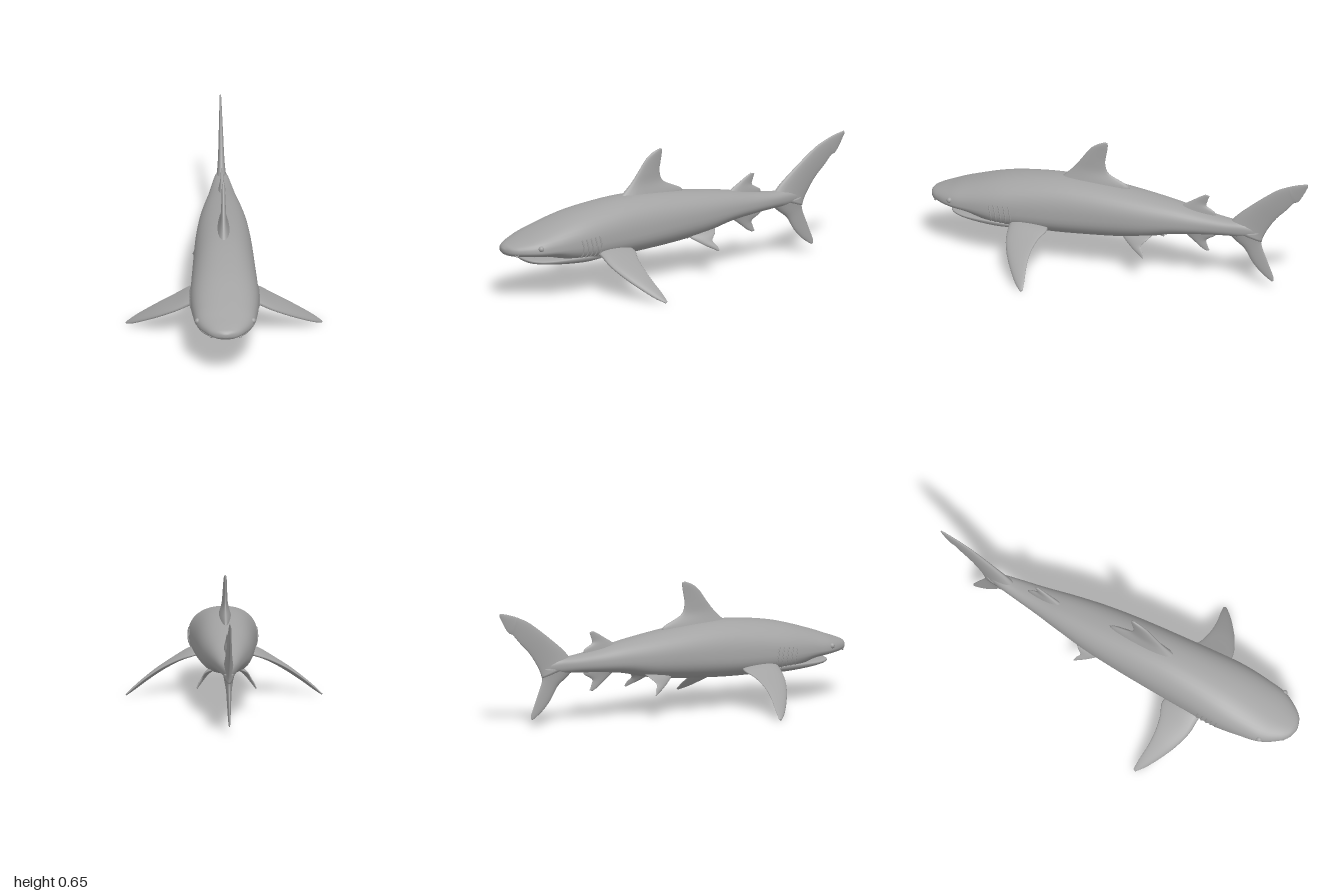
import * as THREE from 'three';

const skin = new THREE.MeshStandardMaterial({ color: 0xa3a3a3 });
skin.name = 'grey skin';

function mesh(name, geometry) {
  const m = new THREE.Mesh(geometry, skin);
  m.name = name;
  return m;
}

// Closed skin through equal rings of points, capped at both ends, facing outward
function loft(rings) {
  const n = rings[0].length, pos = [], idx = [];
  rings.forEach(r => r.forEach(p => pos.push(p.x, p.y, p.z)));
  for (let i = 0; i < rings.length - 1; i++)
    for (let j = 0; j < n; j++) {
      const a = i * n + j, b = i * n + (j + 1) % n;
      idx.push(a, b, a + n, b, b + n, a + n);
    }
  [0, rings.length - 1].forEach((r, end) => {
    const c = rings[r].reduce((s, p) => s.add(p), new THREE.Vector3()).divideScalar(n);
    const k = pos.push(c.x, c.y, c.z) / 3 - 1;
    for (let j = 0; j < n; j++) {
      const a = r * n + j, b = r * n + (j + 1) % n;
      end ? idx.push(k, a, b) : idx.push(k, b, a);
    }
  });
  // Signed volume tells whether the faces point inward
  const v = k => new THREE.Vector3().fromArray(pos, k * 3);
  let volume = 0;
  for (let i = 0; i < idx.length; i += 3) volume += v(idx[i]).dot(v(idx[i + 1]).cross(v(idx[i + 2])));
  if (volume < 0) idx.reverse();
  const g = new THREE.BufferGeometry();
  g.setAttribute('position', new THREE.Float32BufferAttribute(pos, 3));
  g.setIndex(idx);
  g.computeVertexNormals();
  return g;
}

// Smooth interpolation of table rows
function spline(keys, rows) {
  const f = new THREE.CubicInterpolant(keys, rows.flat(), rows[0].length, new Float32Array(rows[0].length));
  return t => Array.from(f.evaluate(t));
}

// Rounded cross-section point: widest at height mid
function sectionPoint(z, [top, bot, w, mid], a) {
  const c = Math.cos(a), s = Math.sin(a), e = 2 / 2.3;
  const h = s > 0 ? top - mid : mid - bot;
  return new THREE.Vector3(
    Math.sign(c) * Math.abs(c) ** e * w, mid + Math.sign(s) * Math.abs(s) ** e * h, z);
}

function hull(table, count, power) {
  const at = spline(table.map(r => 1 - r[0]), table.map(r => r.slice(1)));
  const s0 = 1 - table[0][0], s1 = 1 - table.at(-1)[0], rings = [];
  for (let i = 0; i <= count; i++) {
    const s = s0 + (s1 - s0) * (i / count) ** power;
    rings.push(Array.from({ length: 40 }, (_, j) => sectionPoint(1 - s, at(s), j / 40 * Math.PI * 2)));
  }
  return { geometry: loft(rings), at: z => at(1 - z) };
}

// Fin from rows of [half thickness, leading x,y,z, trailing x,y,z]
function fin(rows) {
  const at = spline(rows.map((_, i) => i), rows), rings = [];
  const ends = r => [new THREE.Vector3(r[1], r[2], r[3]), new THREE.Vector3(r[4], r[5], r[6])];
  const [l0, t0] = ends(rows[0]), [l1, t1] = ends(rows.at(-1));
  const normal = l1.add(t1).sub(l0).sub(t0).cross(t0.clone().sub(l0)).normalize();
  const steps = (rows.length - 1) * 4;
  for (let i = 0; i <= steps; i++) {
    const r = at(i / 4), [l, t] = ends(r);
    rings.push(Array.from({ length: 20 }, (_, j) => {
      const a = j / 20 * Math.PI * 2, u = (1 - Math.cos(a)) / 2;
      return l.clone().lerp(t, u).addScaledVector(normal, r[0] * Math.sin(a) * (1.2 - 0.6 * u));
    }));
  }
  return loft(rings);
}

// Upright fin on the centre line: [half thickness, leading z,y, trailing z,y]
const uprightFin = rows => fin(rows.map(([h, lz, ly, tz, ty]) => [h, 0, ly, lz, 0, ty, tz]));
// Paired fin, mirrored by side
const sideFin = (rows, s) => fin(rows.map(r => r.map((v, i) => (i === 1 || i === 4 ? v * s : v))));

export function createModel() {
  const shark = new THREE.Group();
  shark.name = 'shark';

  // Body with overhanging snout: z, top, bottom, half width, widest height
  const body = hull([
    [1, .268, .25, .012, .26], [.99, .28, .238, .045, .258], [.97, .29, .23, .075, .257],
    [.94, .302, .226, .1, .257], [.9, .316, .223, .126, .257], [.85, .335, .219, .147, .257],
    [.77, .362, .208, .16, .258], [.68, .39, .175, .169, .26], [.6, .41, .16, .172, .26],
    [.45, .434, .158, .165, .265], [.3, .446, .16, .156, .27], [.15, .443, .168, .147, .28],
    [0, .43, .18, .136, .29], [-.15, .412, .2, .12, .295], [-.3, .39, .235, .096, .3],
    [-.45, .362, .252, .068, .302], [-.58, .345, .262, .047, .305], [-.66, .34, .265, .032, .305],
    [-.73, .32, .28, .012, .3]], 80, 1.5);
  shark.add(mesh('body', body.geometry));

  // Lower jaw
  shark.add(mesh('lowerJaw', hull([
    [.885, .203, .194, .03, .199], [.875, .206, .186, .065, .198], [.85, .208, .179, .095, .197],
    [.8, .21, .173, .125, .197], [.7, .212, .163, .15, .2], [.58, .21, .158, .155, .2],
    [.5, .2, .163, .13, .19]], 24, 1.3).geometry));

  // Upper teeth along the mouth arc
  const teeth = new THREE.Group();
  teeth.name = 'teeth';
  for (let i = -9; i <= 9; i++) {
    const a = i / 9 * 1.35;
    const tooth = mesh('tooth', new THREE.ConeGeometry(.005, .016, 6));
    tooth.rotation.x = Math.PI;
    tooth.position.set(.1 * Math.sin(a), .219 + .012 * Math.sin(a) ** 2, .79 + .09 * Math.cos(a));
    teeth.add(tooth);
  }
  shark.add(teeth);

  // Centre line fins
  shark.add(mesh('dorsalFin', uprightFin([
    [.045, .36, .4, -.05, .405], [.03, .3, .452, -.04, .44], [.017, .25, .5, .06, .488],
    [.013, .21, .55, .083, .54], [.01, .165, .61, .077, .59], [.008, .125, .64, .07, .63],
    [.004, .09, .655, .07, .653]])));
  shark.add(mesh('rearDorsalFin', uprightFin([
    [.022, -.3, .36, -.51, .35], [.016, -.34, .392, -.5, .372], [.01, -.385, .42, -.458, .398],
    [.007, -.42, .442, -.463, .428], [.004, -.45, .458, -.472, .452]])));
  shark.add(mesh('analFin', uprightFin([
    [.022, -.3, .27, -.5, .265], [.015, -.34, .237, -.505, .245], [.01, -.39, .2, -.457, .215],
    [.007, -.425, .172, -.462, .185], [.004, -.455, .156, -.472, .16]])));
  shark.add(mesh('upperTailLobe', uprightFin([
    [.032, -.57, .315, -.75, .25], [.022, -.62, .375, -.762, .285], [.016, -.69, .435, -.79, .335],
    [.013, -.76, .49, -.83, .39], [.01, -.83, .54, -.875, .435], [.008, -.885, .567, -.915, .48],
    [.008, -.9, .573, -.922, .487], [.007, -.907, .576, -.945, .498], [.006, -.95, .59, -.968, .53],
    [.004, -.993, .6, -.998, .585]])));
  shark.add(mesh('lowerTailLobe', uprightFin([
    [.03, -.57, .275, -.755, .3], [.022, -.61, .24, -.748, .25], [.015, -.66, .2, -.755, .215],
    [.011, -.7, .135, -.775, .165], [.008, -.745, .085, -.795, .115], [.005, -.79, .052, -.812, .072],
    [.003, -.805, .044, -.814, .048]])));

  // Features on both sides
  for (const s of [1, -1]) {
    const side = s > 0 ? 'left' : 'right';
    shark.add(mesh(side + 'PectoralFin', sideFin([
      [.025, .11, .215, .54, .11, .22, .35], [.021, .165, .205, .532, .165, .205, .33],
      [.017, .24, .163, .52, .23, .18, .352], [.015, .32, .115, .484, .31, .14, .362],
      [.012, .39, .07, .438, .38, .095, .356], [.009, .45, .03, .39, .44, .05, .343],
      [.004, .488, .007, .35, .484, .012, .336]], s)));
    shark.add(mesh(side + 'PelvicFin', sideFin([
      [.014, .06, .215, -.02, .06, .23, -.2], [.011, .092, .188, -.06, .1, .21, -.18],
      [.008, .12, .158, -.11, .12, .178, -.152], [.006, .136, .14, -.145, .138, .153, -.168],
      [.003, .147, .127, -.17, .148, .13, -.176]], s)));

    // Eye and nostril
    const eye = mesh(side + 'Eye', new THREE.SphereGeometry(.014, 16, 12));
    eye.position.set(.138 * s, .276, .86);
    const nostril = mesh(side + 'Nostril', new THREE.TorusGeometry(.008, .004, 8, 16));
    nostril.position.set(.073 * s, .245, .962);
    nostril.rotation.y = .7 * s;
    shark.add(eye, nostril);

    // Gill slits lying on the flank
    for (let i = 0; i < 5; i++) {
      const pts = Array.from({ length: 7 }, (_, k) => {
        const z = .64 - i * .026 - .012 * Math.sin(k / 6 * Math.PI);
        const p = sectionPoint(z, body.at(z), .22 - k / 6 * .85);
        p.x *= s;
        return p;
      });
      shark.add(mesh(side + 'GillSlit',
        new THREE.TubeGeometry(new THREE.CatmullRomCurve3(pts), 16, .004, 6)));
    }
  }
  return shark;
}
